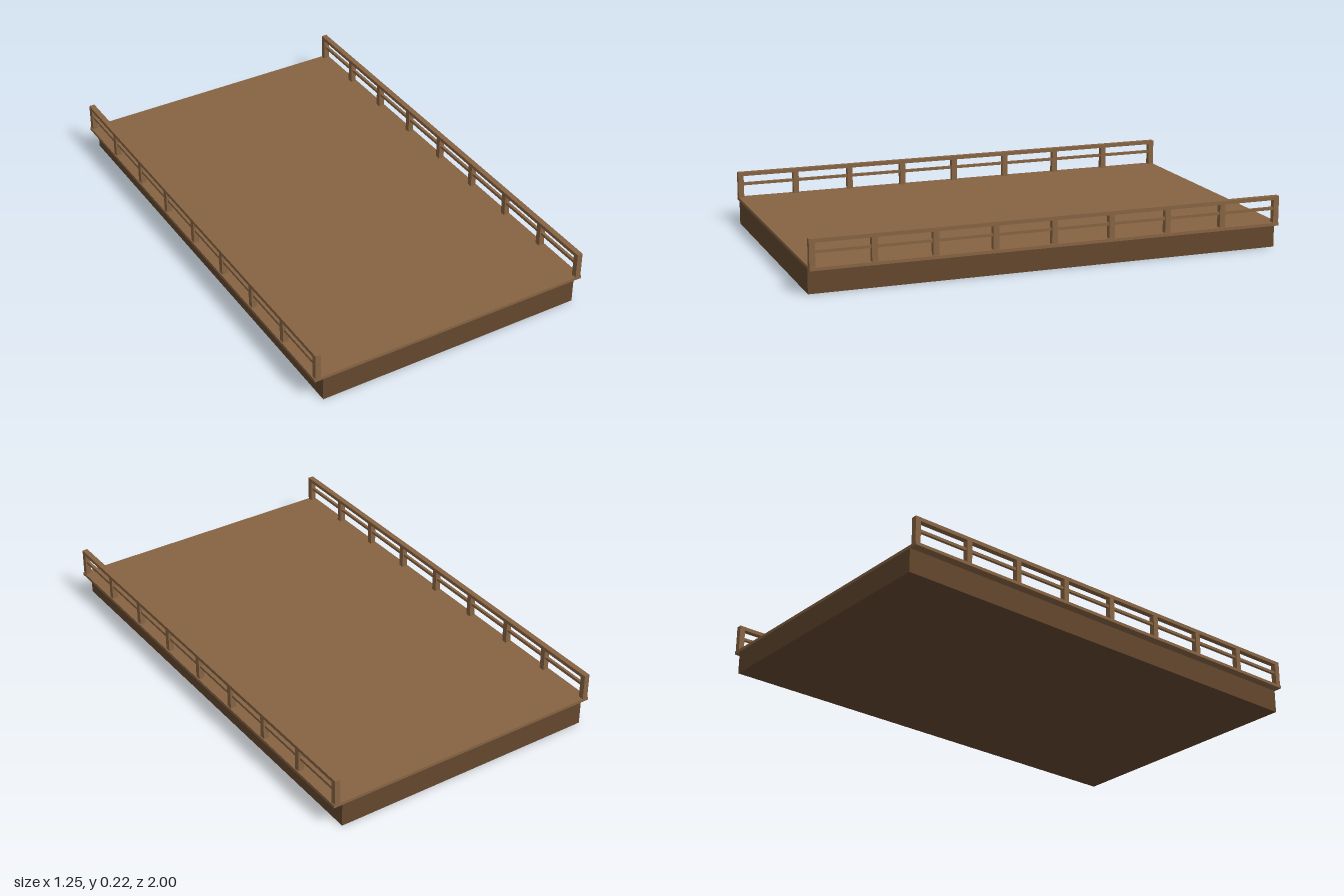
import * as THREE from 'three';

export function createModel() {
  const model = new THREE.Group();
  model.name = 'railedDeck';

  const plankWood = new THREE.MeshStandardMaterial({ name: 'plankWood', color: 0x876443 });
  const darkWood = new THREE.MeshStandardMaterial({ name: 'darkWood', color: 0x63472e });

  // Box spanning bottom to top in y
  const box = (parent, name, material, width, bottom, top, depth, x = 0, z = 0) => {
    const mesh = new THREE.Mesh(new THREE.BoxGeometry(width, top - bottom, depth), material);
    mesh.name = name;
    mesh.position.set(x, (bottom + top) / 2, z);
    parent.add(mesh);
  };

  // Solid base and overhanging deck
  box(model, 'base', darkWood, 1.17, 0, 0.1, 2);
  box(model, 'deck', plankWood, 1.245, 0.1, 0.113, 2);

  // One railing along each long side
  const postCount = 9;
  const postSize = 0.024;
  for (const [side, name] of [[1, 'leftRailing'], [-1, 'rightRailing']]) {
    const railing = new THREE.Group();
    railing.name = name;
    railing.position.x = side * 0.606;
    model.add(railing);

    for (let i = 0; i < postCount; i++) {
      const z = (i / (postCount - 1) - 0.5) * (2 - postSize);
      box(railing, 'post', plankWood, postSize, 0.113, 0.21, postSize, 0, z);
    }
    box(railing, 'topRail', plankWood, postSize, 0.209, 0.225, 2);
    box(railing, 'middleRail', plankWood, 0.012, 0.166, 0.178, 2 - postSize);
  }
  return model;
}
